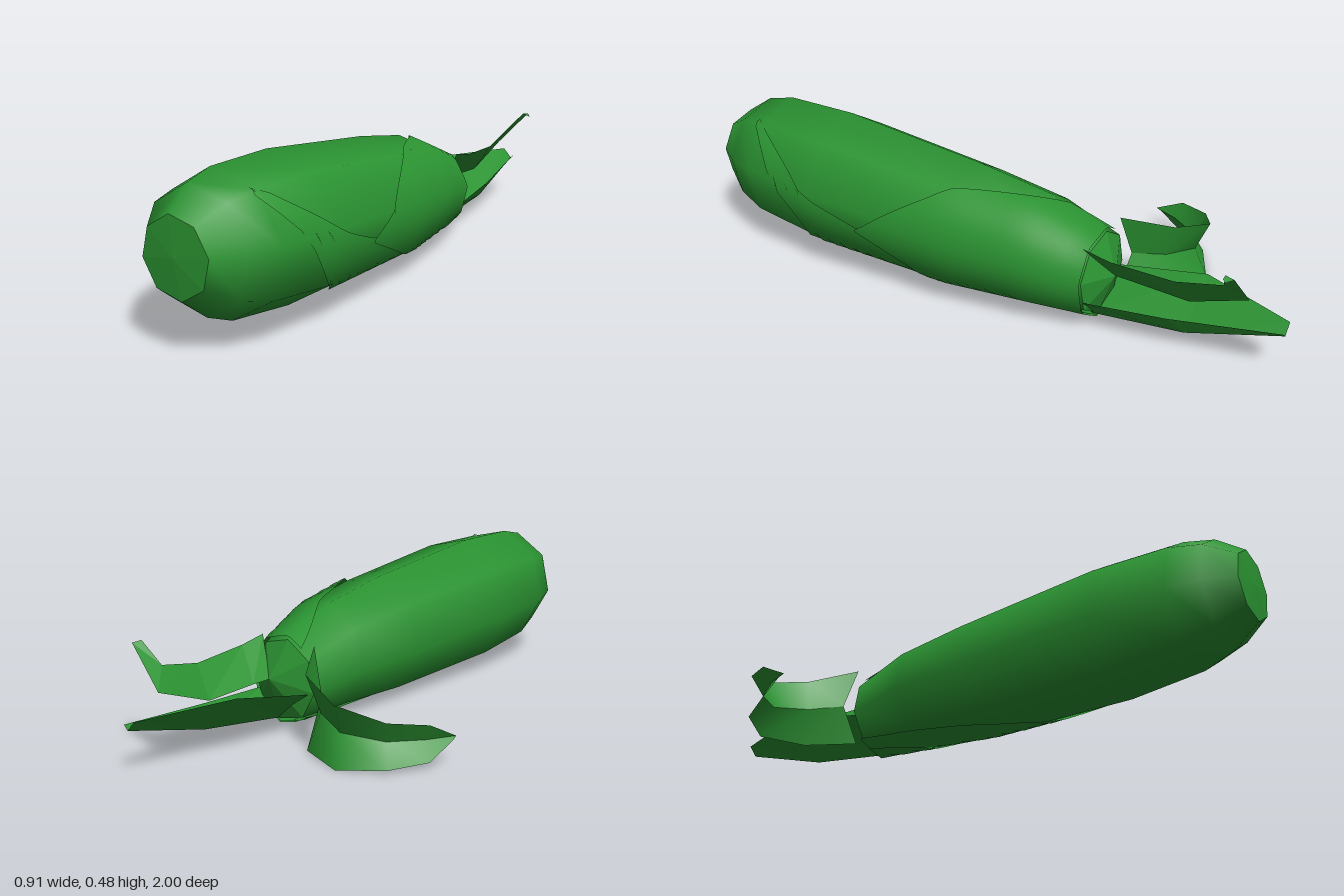
import * as THREE from 'three';

const husk = new THREE.MeshStandardMaterial({ color: 0x2b9432, side: THREE.DoubleSide });
const SIDES = 8, STEP = Math.PI * 2 / SIDES, TURN = 0.16;

// Body sections: z, centre x, centre y, radius
const RINGS = [
  [0.99, 0.235, 0.29, 0.117], [0.9, 0.23, 0.285, 0.183],
  [0.8, 0.226, 0.275, 0.214], [0.55, 0.22, 0.257, 0.23], [0.05, 0.198, 0.218, 0.208],
  [-0.2, 0.178, 0.2, 0.18], [-0.4, 0.158, 0.16, 0.136],
];

// Linear lookup in rows sorted by falling z
function sample(rows, z) {
  let i = 0;
  while (i < rows.length - 2 && z < rows[i + 1][0]) i++;
  const t = THREE.MathUtils.clamp((z - rows[i][0]) / (rows[i + 1][0] - rows[i][0]), 0, 1);
  return rows[i].map((v, k) => v + (rows[i + 1][k] - v) * t);
}

// Point on the eight-sided body at depth z and angle a, lifted outward
function bodyPoint(z, a, lift = 0) {
  const [, cx, cy, r] = sample(RINGS, z);
  const local = THREE.MathUtils.euclideanModulo(a - TURN, STEP) - STEP / 2;
  const d = r * Math.cos(STEP / 2) / Math.cos(local) + lift;
  return [cx + d * Math.cos(a), cy + d * Math.sin(a), z];
}

// Surface from equal-length rows of points
function gridMesh(name, rows, flat = false) {
  const n = rows[0].length, index = [];
  for (let i = 0; i < rows.length - 1; i++) {
    for (let j = 0; j < n - 1; j++) {
      const a = i * n + j, b = a + n;
      index.push(a, b, a + 1, a + 1, b, b + 1);
    }
  }
  let geo = new THREE.BufferGeometry();
  geo.setAttribute('position', new THREE.Float32BufferAttribute(rows.flat(2), 3));
  geo.setIndex(index);
  if (flat) geo = geo.toNonIndexed();
  geo.computeVertexNormals();
  const mesh = new THREE.Mesh(geo, husk);
  mesh.name = name;
  return mesh;
}

// Rounded normals around the body axis
function roundNormals(mesh) {
  const p = mesh.geometry.attributes.position, n = mesh.geometry.attributes.normal;
  for (let i = 0; i < p.count; i++) {
    const z = p.getZ(i);
    const [, cx, cy, r] = sample(RINGS, z);
    const slope = (sample(RINGS, z - 0.05)[3] - sample(RINGS, z + 0.05)[3]) / 0.1;
    const v = new THREE.Vector3((p.getX(i) - cx) / r, (p.getY(i) - cy) / r, slope).normalize();
    n.setXYZ(i, v.x, v.y, v.z);
  }
  return mesh;
}

// Husk leaf hugging the body; edges: z, lower angle, upper angle in degrees
function wrapLeaf(name, edges, lift) {
  const rows = [], z0 = edges[0][0], z1 = edges[edges.length - 1][0];
  for (let i = 0; i <= 24; i++) {
    const z = z0 + (z1 - z0) * i / 24;
    const [, lo, hi] = sample(edges, z);
    rows.push(Array.from({ length: 25 }, (_, j) =>
      bodyPoint(z, THREE.MathUtils.degToRad(lo + (hi - lo) * j / 24), lift)));
  }
  return roundNormals(gridMesh(name, rows));
}

export function createModel() {
  const model = new THREE.Group();

  // Ear body
  const rows = RINGS.map(([z]) =>
    Array.from({ length: SIDES + 1 }, (_, j) => bodyPoint(z, TURN + 1e-6 + j * STEP)));
  model.add(roundNormals(gridMesh('earBody', rows)));

  // Flat front and blunt pointed rear
  const front = rows[0], rear = rows[rows.length - 1];
  model.add(gridMesh('frontCap', [front.map(() => [0.235, 0.29, 0.998]), front], true));
  model.add(gridMesh('rearPoint', [rear, rear.map(() => [0.17, 0.17, -0.455])], true));

  // Overlapping husk leaves around the body
  model.add(wrapLeaf('lowerHuskLeaf',
    [[0.82, 50, 58], [0.55, -40, 8], [0.35, -75, -8], [0, -110, -20], [-0.4, -130, -30]], 0.009));
  model.add(wrapLeaf('sideHuskLeaf',
    [[0.36, -11, -9], [0.04, -45, 57], [-0.2, -85, 85], [-0.4, -110, 125]], 0.014));

  // Lower leaf end: left, crease and right points
  model.add(gridMesh('lowerLeafEnd', [
    [[0.045, 0.13, -0.39], [0.19, 0.025, -0.39], [0.28, 0.11, -0.38]],
    [[0.04, 0.19, -0.7], [0.19, 0.062, -0.7], [0.24, 0.125, -0.66]],
    [[0.13, 0.172, -1], [0.16, 0.14, -1], [0.177, 0.155, -1]],
  ], true));

  // Upper leaf end leaning outward, with a bent tip: lower and upper edge
  model.add(gridMesh('upperLeafEnd', [
    [[0.17, 0.17, -0.45], [0.265, 0.29, -0.39]],
    [[0.17, 0.168, -0.52], [0.262, 0.272, -0.48]],
    [[0.165, 0.158, -0.7], [0.238, 0.258, -0.68]],
    [[0.165, 0.225, -0.885], [0.222, 0.285, -0.825]],
    [[0.285, 0.352, -0.88], [0.28, 0.356, -0.85]],
    [[0.302, 0.345, -0.86], [0.295, 0.35, -0.85]],
  ], true));

  // Curled leaf: edge x, edge z, crease x, crease z, top y, crease y, bottom y
  const curl = [
    [0.03, -0.39, -0.02, -0.41, 0.29, 0.145, 0.018],
    [-0.075, -0.53, -0.1, -0.495, 0.248, 0.127, 0.011],
    [-0.24, -0.58, -0.225, -0.54, 0.2, 0.104, 0.003],
    [-0.375, -0.505, -0.345, -0.475, 0.156, 0.086, 0.013],
    [-0.44, -0.39, -0.415, -0.375, 0.136, 0.083, 0.022],
    [-0.455, -0.3, -0.452, -0.285, 0.088, 0.081, 0.074],
  ];
  const half = (k) => curl.map((c) => [[c[0], c[k], c[1]], [c[2], c[5], c[3]]]);
  model.add(gridMesh('curledLeafUpperHalf', half(4)), gridMesh('curledLeafLowerHalf', half(6)));

  return model;
}
